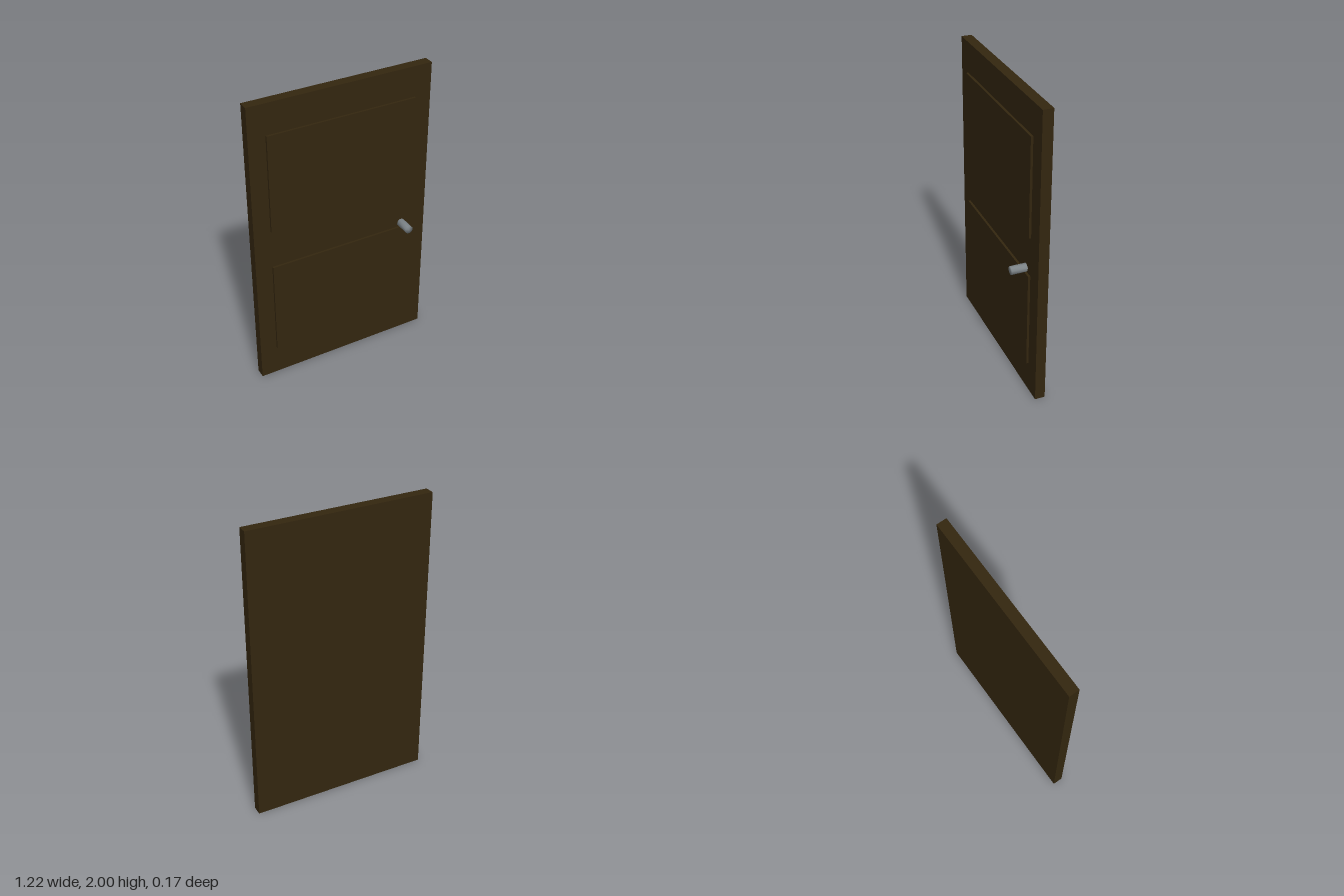
import * as THREE from 'three';
import { mergeVertices } from 'three/addons/utils/BufferGeometryUtils.js';

export function createModel() {
  const door = new THREE.Group();
  door.name = 'door';

  const wood = new THREE.MeshStandardMaterial({ color: 0x33260f });
  wood.name = 'dark wood';
  const metal = new THREE.MeshStandardMaterial({ color: 0x7d8488 });
  metal.name = 'grey metal';

  // Box given by its minimum and maximum corners
  function addBox(name, min, max) {
    const size = max.map((v, i) => v - min[i]);
    const mesh = new THREE.Mesh(new THREE.BoxGeometry(...size), wood);
    mesh.position.set(...max.map((v, i) => (v + min[i]) / 2));
    mesh.name = name;
    door.add(mesh);
  }

  // Slab and the two raised panels on its front
  addBox('slab', [-0.612, 0, -0.085], [0.612, 2, -0.018]);
  addBox('lowerPanel', [-0.5, 0.21, -0.03], [0.5, 0.87, -0.003]);
  addBox('upperPanel', [-0.5, 1.138, -0.03], [0.5, 1.797, -0.003]);

  // Eight-sided knob, welded so that its shading runs softly over the rim
  const length = 0.105;
  let knobGeometry = new THREE.CylinderGeometry(0.028, 0.028, length, 8, 1, false, Math.PI / 8);
  knobGeometry.deleteAttribute('normal');
  knobGeometry.deleteAttribute('uv');
  knobGeometry = mergeVertices(knobGeometry);
  knobGeometry.computeVertexNormals();
  knobGeometry.rotateX(Math.PI / 2);
  const knob = new THREE.Mesh(knobGeometry, metal);
  knob.position.set(0.435, 0.897, 0.085 - length / 2);
  knob.name = 'knob';
  door.add(knob);

  return door;
}
